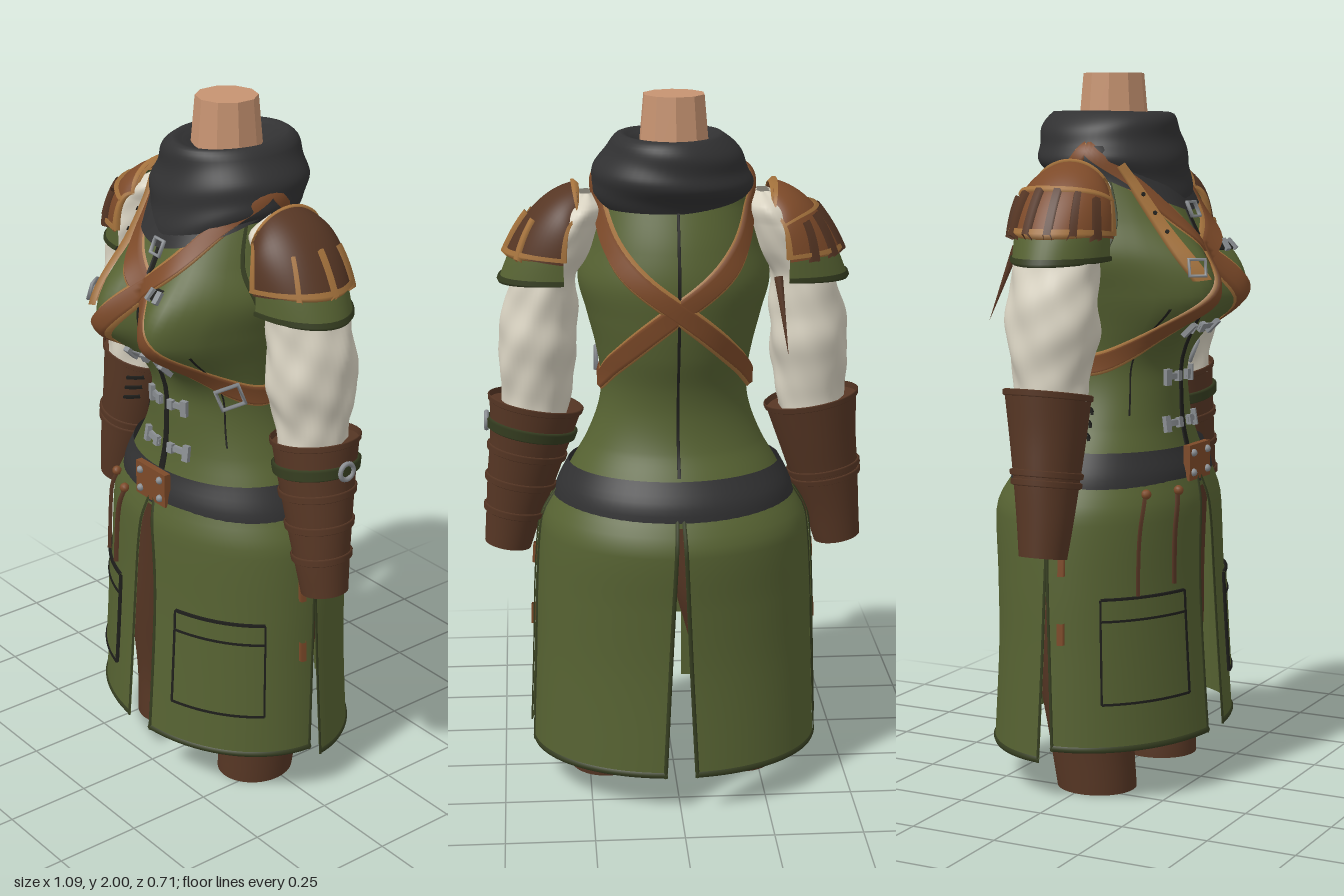
import * as THREE from 'three';
import { ParametricGeometry } from 'three/addons/geometries/ParametricGeometry.js';

const RAD = Math.PI / 180;
const paint = (name, color, extra = {}) =>
  Object.assign(new THREE.MeshStandardMaterial({ color, side: THREE.DoubleSide, ...extra }), { name });

// Smooth interpolation of rows whose first column increases
function sample(rows, t) {
  const n = rows.length - 1;
  let i = 0;
  while (i < n - 1 && t > rows[i + 1][0]) i++;
  const a = rows[i], b = rows[i + 1], h = b[0] - a[0];
  const k = Math.min(1, Math.max(0, (t - a[0]) / h));
  const p = rows[Math.max(0, i - 1)], q = rows[Math.min(n, i + 2)];
  return a.map((_, c) => {
    const m0 = (b[c] - p[c]) / (b[0] - p[0]) * h, m1 = (q[c] - a[c]) / (q[0] - a[0]) * h;
    return a[c] + k * m0 + k * k * (3 * (b[c] - a[c]) - 2 * m0 - m1) + k * k * k * (2 * (a[c] - b[c]) + m0 + m1);
  });
}
const fill = (f, nu, nv) => new ParametricGeometry((u, v, t) => t.set(...f(u, v)), nu, nv);

// Ring with separate front and back depth: angle 0 faces +z, 90 degrees faces +x
function ring(a, y, rx, zf, zb, off, zm) {
  const c = Math.cos(a), d = c > 0 ? zf - zm : zm - zb;
  return [(rx + off) * Math.sin(a), y, zm + (d + off) * c];
}
// Rows: y, half width, front z, back z
const torsoRows = [
  [0.84, 0.335, 0.225, -0.30], [0.9, 0.32, 0.22, -0.29], [0.96, 0.29, 0.2, -0.255], [1.03, 0.25, 0.185, -0.215],
  [1.12, 0.215, 0.18, -0.195], [1.2, 0.205, 0.18, -0.2], [1.3, 0.22, 0.205, -0.23], [1.4, 0.245, 0.235, -0.25],
  [1.5, 0.268, 0.235, -0.26], [1.6, 0.24, 0.2, -0.24], [1.7, 0.215, 0.16, -0.2], [1.8, 0.2, 0.1, -0.15], [1.86, 0.08, 0.04, -0.09]];
function torso(a, y, off = 0) {
  const [, rx, zf, zb] = sample(torsoRows, y);
  const p = ring(a, y, rx, zf, zb, off, -0.02);
  if (Math.cos(a) > 0) {
    const dy = (y - 1.395) / (y > 1.395 ? 0.17 : 0.11), dx = (Math.abs(p[0]) - 0.125) / 0.1;
    p[2] += 0.125 * Math.exp(-dx * dx - dy * dy) * Math.min(1, Math.cos(a) * 1.6);
  }
  return p;
}
const skirtRows = [[0.1, 0.42, 0.3, -0.36], [0.4, 0.407, 0.278, -0.345], [0.6, 0.4, 0.266, -0.35],
  [0.77, 0.388, 0.26, -0.36], [0.82, 0.375, 0.255, -0.345], [0.885, 0.336, 0.236, -0.3]];
function skirt(a, y, off = 0) {
  const [, rx, zf, zb] = sample(skirtRows, y);
  return ring(a, y, rx, zf, zb, off, -0.03);
}
// Limb rows: y, centre x, x radius, z radius, centre z
const limb = (rows, s, tilt = 0, wrinkle = 0) => (a, y, off = 0) => {
  const [, cx, rx, rz, cz] = sample(rows, y);
  const k = off + wrinkle * (Math.sin(3 * a + 9 * y) * Math.sin(38 * y + 2 * Math.sin(a)) + Math.sin(7 * a - 31 * y) / 2);
  const dx = (rx + k) * Math.sin(a);
  return [s * (cx + dx), y + tilt * dx, cz + (rz + k) * Math.cos(a)];
};
const tubeOf = (f, y0, y1, nv, nu = 40) => fill((u, v) => f(u * 2 * Math.PI, y0 + (y1 - y0) * v), nu, nv);
const capOf = (f, y) => fill((u, v) => {
  const p = f(u * 2 * Math.PI, y), a = f(Math.PI / 2, y), b = f(-Math.PI / 2, y);
  return p.map((c, i) => (a[i] + b[i]) / 2 * (1 - v) + c * v);
}, 32, 1);
// Strip of width w lying on surface f along points [degrees, y]
function ribbon(f, pts, w, off, R = 0.25, nv = 24) {
  const curve = new THREE.CatmullRomCurve3(pts.map(([a, y]) => new THREE.Vector3(a * RAD * R, y, 0)));
  return fill((u, v) => {
    const p = curve.getPoint(v), t = curve.getTangent(v), k = (u - 0.5) * w;
    return f((p.x - t.y * k) / R, p.y + t.x * k, off * Math.min(1, 0.2 + 8 * Math.min(u, 1 - u)));
  }, 6, nv);
}
// Shoulder guard surface: angle runs over the arm, w runs outward and down
const guard = s => (a, w, off = 0) => {
  const v = w / 0.3, m = 1 - v, d = 1 - Math.cos(a), o = off * Math.cos(a) * 0.75;
  const x = m * m * 0.26 + 2 * v * m * 0.385 + v * v * 0.462, y = m * m * 1.75 + 2 * v * m * 1.725 + v * v * 1.545;
  const wide = 0.095 + 0.038 * Math.sin(Math.min(v, 1) * Math.PI / 2);
  return [s * (x - 0.165 * v * d + o), y - (0.08 - 0.075 * v) * d + o, -0.02 + (wide + off) * Math.sin(a)];
};

export function createModel() {
  const root = new THREE.Group();
  root.name = 'outfit';
  const green = paint('green cloth', 0x566232), darkGreen = paint('dark green trim', 0x353d20);
  const charcoal = paint('charcoal cloth', 0x313132), brown = paint('dark leather', 0x563624);
  const leather = paint('strap leather', 0x7d4a29), tan = paint('tan leather', 0xa4723c);
  const cream = paint('cream linen', 0xd8d2c1), steel = paint('steel', 0x8a8e92);
  const seam = paint('black seam', 0x1e1e1b), skin = paint('skin', 0xc69371, { flatShading: true });
  const add = (name, geo, mat) => {
    const m = new THREE.Mesh(geo, mat);
    m.name = name;
    root.add(m);
    return m;
  };
  // Fitting placed on a surface and turned to face along its normal
  const stick = (name, geo, mat, f, deg, y, off, rz = 0) => {
    const m = add(name, geo, mat), a = deg * RAD, at = (da, dy) => new THREE.Vector3(...f(a + da, y + dy, off));
    const across = at(0.03, 0).sub(at(-0.03, 0)), up = at(0, 0.01).sub(at(0, -0.01));
    m.position.copy(at(0, 0));
    m.lookAt(at(0, 0).add(across.cross(up)));
    m.rotateZ(rz);
  };
  const frame = (r, t) => new THREE.TorusGeometry(r, t, 6, 4).rotateZ(Math.PI / 4);

  // Neck, cowl and its front point
  add('neck', new THREE.CylinderGeometry(0.086, 0.104, 0.2, 10), skin).position.set(0, 1.9, -0.03);
  const cowlRows = [[0, 1.865, 0.09, 0.06, -0.12], [1, 1.885, 0.115, 0.1, -0.18], [1.5, 1.895, 0.14, 0.13, -0.212], [2, 1.87, 0.172, 0.15, -0.232],
    [3, 1.81, 0.21, 0.165, -0.246], [4, 1.755, 0.224, 0.182, -0.238], [5, 1.7, 0.2, 0.19, -0.2]];
  add('cowl', fill((u, v) => {
    const a = u * 2 * Math.PI, [t, y, rx, zf, zb] = sample(cowlRows, v * 5);
    const fold = t > 1.5 ? 0.004 * Math.sin((t - 1.5) * 4 + 2 * Math.sin(a + 0.5)) : 0;
    const p = ring(a, y - 0.06 * Math.max(0, Math.cos(a)) ** 3 * (t / 5) ** 2, rx, zf, zb, fold, -0.03);
    p[0] += 0.008;
    return p;
  }, 56, 40), charcoal);
  add('cowlPoint', fill((u, v) => {
    const a = (u * 2 - 1) * 85, low = 1.62 + 0.12 * (Math.abs(a) / 85) ** 1.3;
    return torso(a * RAD, low + (1.8 - low) * v, 0.01);
  }, 32, 8), charcoal);

  // Vest with seams and placket
  add('vest', tubeOf(torso, 0.84, 1.86, 70, 72), green);
  add('placket', ribbon(torso, [[0, 0.95], [0, 1.64]], 0.022, 0.006), seam);
  add('backSeam', ribbon(torso, [[180, 0.97], [180, 1.72]], 0.009, 0.004, 0.25, 48), seam);
  for (const s of [-1, 1]) {
    add('dart', ribbon(torso, [[s * 50, 1.06], [s * 52, 1.2], [s * 48, 1.36]], 0.006, 0.003), seam);
    add('armholeEdge', ribbon(torso, [[s * 72, 1.5], [s * 64, 1.6], [s * 66, 1.74]], 0.012, 0.005), darkGreen);
  }
  // Front clasps
  for (const y of [1.03, 1.16, 1.295]) for (const s of [-1, 1]) {
    add('claspBar', ribbon(torso, [[s * 4, y], [s * 20, y]], 0.02, 0.012, 0.25, 8), steel);
    for (const [a, h] of [[7, 0.028], [20, 0.046]])
      stick('claspStud', new THREE.BoxGeometry(0.02, h, 0.014), steel, torso, s * a, y, 0.01);
  }
  add('upperClasp', ribbon(torso, [[6, 1.525], [24, 1.525]], 0.03, 0.01), seam);
  for (const a of [15, 23]) stick('upperClaspStud', new THREE.BoxGeometry(0.016, 0.036, 0.012), steel, torso, a, 1.525, 0.012);
  stick('collarBuckle', frame(0.03, 0.006), steel, torso, 2, 1.625, 0.018);

  // Crossed straps looping round the body
  const loop = [[86, 1.8], [45, 1.7], [20, 1.59], [0, 1.51], [-25, 1.385], [-55, 1.245], [-90, 1.2], [-130, 1.28],
    [-180, 1.44], [-225, 1.6], [-255, 1.73], [-274, 1.8]];
  for (const s of [-1, 1]) {
    add('crossStrapEdge', ribbon(torso, loop.map(([a, y]) => [a * s, y]), 0.064, 0.01 + 0.003 * s, 0.25, 110), tan);
    add('crossStrap', ribbon(torso, loop.map(([a, y]) => [a * s, y]), 0.057, 0.015 + 0.003 * s, 0.25, 110), leather);
  }
  stick('strapBuckle', frame(0.046, 0.007), steel, torso, 57, 1.22, 0.03, 0.35);
  add('chestStrap', ribbon(torso, [[-52, 1.75], [-40, 1.62], [-33, 1.44]], 0.044, 0.026), tan);
  for (const [a, y] of [[-43.5, 1.67], [-40, 1.62], [-38, 1.57]])
    stick('strapHole', new THREE.CylinderGeometry(0.006, 0.006, 0.006, 8).rotateX(Math.PI / 2), seam, torso, a, y, 0.027);
  stick('chestBuckle', frame(0.032, 0.006), steel, torso, -33.5, 1.475, 0.032);
  const tail = add('looseStrapEnd', new THREE.ConeGeometry(0.013, 0.22, 6), brown);
  tail.position.set(-0.285, 1.42, -0.23);
  tail.rotation.set(0.35, 0, Math.PI - 0.1);

  // Belt and buckle plate
  add('belt', fill((u, v) => torso(u * 2 * Math.PI, 0.86 + 0.105 * v, 0.014), 64, 6), charcoal);
  add('beltPlate', new THREE.BoxGeometry(0.135, 0.1, 0.02), leather).position.set(0, 0.92, 0.232);
  for (const x of [-0.045, 0.045]) for (const y of [0.892, 0.948])
    add('beltStud', new THREE.SphereGeometry(0.011, 10, 8), steel).position.set(x, y, 0.243);

  // Skirt panels, hems, pockets and side tabs
  for (const s of [-1, 1]) {
    const panels = [
      ['frontPanel', 0.15, 0.88, 0, v => 6.2 - 5.4 * v ** 5, v => 87 + 6 * v],
      ['backPanel', 0.11, 0.88, -0.007, v => 94 - 4 * v, v => 174.5 + 5 * v]];
    for (const [name, y0, y1, out, a0, a1] of panels) {
      const at = (k, v, off) => skirt(s * (a0(v) + (a1(v) - a0(v)) * k) * RAD, y0 + (y1 - y0) * v, out + off);
      const raise = t => 0.001 + 0.004 * Math.sin(Math.PI * t);
      add(name, fill((u, v) => at(u, v, 0), 50, 28), green);
      add(name + 'Hem', fill((u, v) => at(u, v * 0.022, raise(v)), 50, 2), darkGreen);
      for (const k of [0, 0.98]) add(name + 'Edge', fill((u, v) => at(k + 0.02 * u, v, raise(u)), 2, 28), darkGreen);
    }
    const line = (...pts) => add('pocketSeam', ribbon(skirt, pts.map(([a, y]) => [a * s, y]), 0.008, 0.011, 0.4, 14), seam);
    add('pocket', fill((u, v) => skirt(s * (19 + 43 * u) * RAD, 0.285 + 0.29 * v, 0.007), 14, 6), green);
    line([19, 0.285], [62, 0.285]);
    line([19, 0.515], [62, 0.515]);
    line([19, 0.575], [62, 0.575]);
    line([19, 0.285], [19, 0.575]);
    line([62, 0.285], [62, 0.575]);
    for (const y of [0.48, 0.67]) add('sideTab', ribbon(skirt, [[s * 82, y - 0.03], [s * 82, y + 0.03]], 0.028, 0.014, 0.4, 4), leather);

    // Trouser legs
    const leg = limb([[0, 0.2, 0.105, 0.114, 0.018], [0.15, 0.205, 0.108, 0.125, 0.004], [0.4, 0.19, 0.145, 0.165, -0.01],
      [0.6, 0.16, 0.165, 0.2, -0.03], [0.86, 0.14, 0.17, 0.22, -0.03]], s);
    add('leg', tubeOf(leg, 0, 0.86, 24), brown);
    add('legEnd', capOf(leg, 0), brown);

    // Sleeve and bracer
    const sleeve = limb([[1.1, 0.39, 0.09, 0.1, -0.02], [1.2, 0.387, 0.1, 0.108, -0.02], [1.3, 0.382, 0.11, 0.13, -0.02],
      [1.4, 0.375, 0.104, 0.128, -0.02], [1.5, 0.36, 0.09, 0.122, -0.02], [1.58, 0.325, 0.1, 0.122, -0.025],
      [1.65, 0.285, 0.085, 0.122, -0.03], [1.7, 0.26, 0.065, 0.11, -0.03], [1.735, 0.245, 0.02, 0.04, -0.03]], s, 0, 0.004);
    add('sleeve', tubeOf(sleeve, 1.1, 1.735, 60, 48), cream);
    const bracer = limb([[0.705, 0.478, 0.066, 0.065, 0], [0.8, 0.46, 0.078, 0.076, -0.003], [0.9, 0.438, 0.094, 0.087, -0.01],
      [1.02, 0.412, 0.11, 0.102, -0.02], [1.14, 0.39, 0.13, 0.115, -0.03]], s, 0.18);
    add('bracer', tubeOf(bracer, 0.705, 1.14, 20), brown);
    add('bracerEnd', capOf(bracer, 0.705), brown);
    add('bracerTop', capOf(bracer, 1.125), brown);
    const band = (y, w, off, mat) => add('bracerBand', ribbon(bracer, [[-180, y], [0, y], [180, y]], w, off, 0.1, 36), mat);
    band(1.133, 0.018, 0.005, brown);
    if (s > 0) {
      for (const y of [0.99, 0.9, 0.81]) band(y, 0.022, 0.007, brown);
      band(1.06, 0.034, 0.011, darkGreen);
      stick('bracerBuckle', new THREE.TorusGeometry(0.023, 0.007, 8, 20), steel, bracer, 90, 1.06, 0.01);
    } else {
      for (const y of [0.9, 0.925]) band(y, 0.018, 0.008, brown);
      for (const y of [1.03, 1.065, 1.1]) add('lace', ribbon(bracer, [[-52, y + 0.01], [-28, y - 0.005]], 0.01, 0.01, 0.1, 8), seam);
    }

    // Layered shoulder guard
    const g = guard(s), E = 86;
    const strip = (name, pts, w, off, mat) => add(name, ribbon(g, pts, w, off, 0.13, 20), mat);
    const sheet = (name, w0, w1, off, mat) => add(name, fill((u, v) => g((u * 2 - 1) * E * RAD, w0 + (w1 - w0) * v, off), 28, 14), mat);
    sheet('shoulderFlange', 0.15, 0.342, 0.004, green);
    strip('flangeHem', [[-E, 0.337], [0, 0.342], [E, 0.337]], 0.014, 0.01, darkGreen);
    sheet('shoulderPlate', 0, 0.285, 0.014, s > 0 ? brown : leather);
    strip('plateLowerTrim', [[-E, 0.27], [0, 0.285], [E, 0.27]], 0.016, 0.022, tan);
    strip('plateUpperTrim', [[-E, 0.01], [0, 0.005], [E, 0.01]], 0.014, 0.022, tan);
    for (const e of [-E, E]) strip('plateSideTrim', [[e, 0.01], [e, 0.275]], 0.016, 0.02, tan);
    if (s > 0) {
      for (const a of [-38, 0, 38]) strip('plateStrap', [[a * 0.85, 0.18], [a, 0.295]], 0.014, 0.026, tan);
    } else {
      strip('plateMiddleTrim', [[-E, 0.13], [0, 0.165], [E, 0.13]], 0.014, 0.024, tan);
      for (const a of [-62, -37, -12, 12, 37, 62]) strip('plateRib', [[a * 0.9, 0.17], [a, 0.295]], 0.022, 0.028, brown);
    }
  }
  add('gusset', new THREE.BoxGeometry(0.1, 0.16, 0.15), green).position.set(0, 0.55, 0.09);

  // Hanging cords on the right hip
  for (const [a, low] of [[-43, 0.58], [-24, 0.6]]) {
    add('cord', ribbon(skirt, [[a + 3, 0.86], [a, 0.75], [a - 1, low]], 0.011, 0.014, 0.4, 14), brown);
    stick('cordKnot', new THREE.SphereGeometry(0.014, 10, 8), leather, skirt, a + 3, 0.855, 0.012);
  }
  return root;
}
